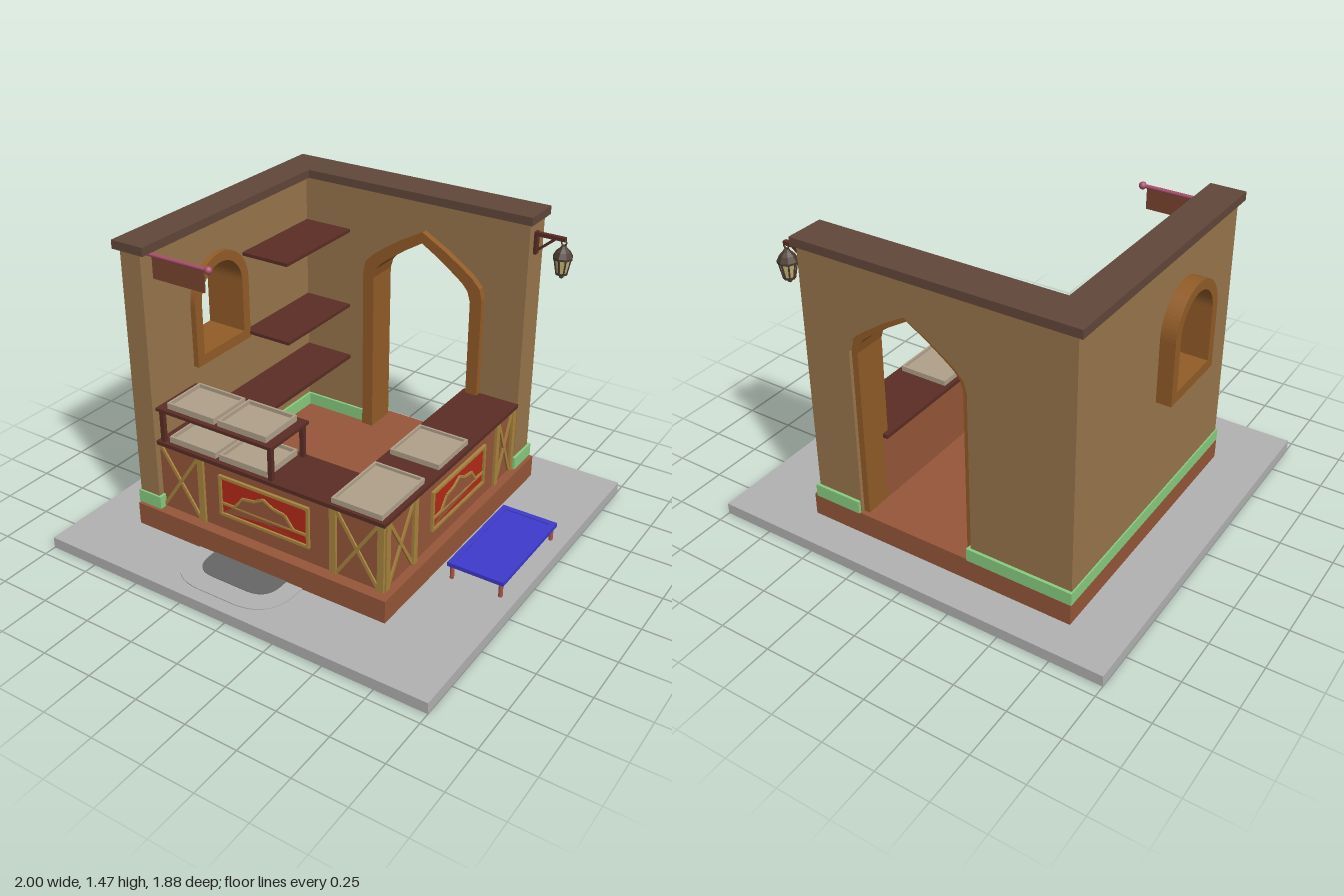
import * as THREE from 'three';

const mats = {};
const mat = (color) => (mats[color] ??= new THREE.MeshStandardMaterial({ color }));
const WALL = 0x99754b, RAIL = 0x62473a, BRICK = 0x955639, DARK = 0x5a2d24, WOOD = 0x925c28;
const GREEN = 0x88cc80, RED = 0xb52a18, GOLD = 0xa8843f, BLUE = 0x3e3acc, PINK = 0xa8506a;
const TRAY = 0xb0a08a, STONE = 0xb2b2b2, SLATE = 0x666666, IRON = 0x4a3c30, GLASS = 0xc8b878;

export function createModel() {
  const root = new THREE.Group();

  const add = (name, geo, color, parent = root) => {
    const m = new THREE.Mesh(geo, mat(color));
    m.name = name;
    parent.add(m);
    return m;
  };
  // Box from its min and max corners
  const box = (name, x0, x1, y0, y1, z0, z1, color, parent) => {
    const m = add(name, new THREE.BoxGeometry(x1 - x0, y1 - y0, z1 - z0), color, parent);
    m.position.set((x0 + x1) / 2, (y0 + y1) / 2, (z0 + z1) / 2);
    return m;
  };
  const shapeOf = (pts) => new THREE.Shape(pts.map(([x, y]) => new THREE.Vector2(x, y)));
  const extrude = (shape, depth) =>
    new THREE.ExtrudeGeometry(shape, { depth, bevelEnabled: false, curveSegments: 16 });
  // Square bar between two points of a flat facade
  const bar = (name, [x0, y0], [x1, y1], w, d, color, parent) => {
    const m = add(name, new THREE.BoxGeometry(Math.hypot(x1 - x0, y1 - y0), w, d), color, parent);
    m.position.set((x0 + x1) / 2, (y0 + y1) / 2, d / 2);
    m.rotation.z = Math.atan2(y1 - y0, x1 - x0);
    return m;
  };
  // Shallow open tray: floor plus four rims
  const tray = (name, x0, x1, y0, y1, z0, z1, w, floor, color) => {
    const g = new THREE.Group();
    g.name = name;
    root.add(g);
    box('trayFloor', x0 + w, x1 - w, y0, y0 + floor, z0 + w, z1 - w, color, g);
    for (const [a, b] of [[x0, x0 + w], [x1 - w, x1]]) box('sideRim', a, b, y0, y1, z0, z1, color, g);
    for (const [a, b] of [[z0, z0 + w], [z1 - w, z1]]) box('endRim', x0 + w, x1 - w, y0, y1, a, b, color, g);
  };

  // Ground slab, open underneath
  const slab = new THREE.BoxGeometry(2, 0.055, 1.88);
  slab.setIndex([...slab.index.array].filter((_, i) => i < 18 || i > 23));
  slab.clearGroups();
  const ground = add('ground', slab, STONE);
  ground.material = new THREE.MeshStandardMaterial({ color: STONE, side: THREE.DoubleSide });
  ground.position.y = 0.0275;

  // Rounded doorstep with a kerb
  const stepShape = (hw, len, r) => {
    const s = new THREE.Shape();
    s.moveTo(-hw, 0);
    s.lineTo(-hw, -len + r);
    s.quadraticCurveTo(-hw, -len, -hw + r, -len);
    s.lineTo(hw - r, -len);
    s.quadraticCurveTo(hw, -len, hw, -len + r);
    s.lineTo(hw, 0);
    return s;
  };
  const kerb = stepShape(0.285, 0.26, 0.2);
  for (const [name, s, h, c] of [['kerb', kerb, 0.012, STONE], ['doorstep', stepShape(0.2, 0.16, 0.11), 0.015, SLATE]]) {
    const m = add(name, extrude(s, h).rotateX(-Math.PI / 2), c);
    m.position.set(-0.1, 0.048, 0.615);
  }

  // Plinth
  box('plinth', -0.745, 0.607, 0.05, 0.167, -0.765, 0.625, BRICK);

  // Pointed arch, t = 0 inner edge, t = 1 outer edge
  const inner = [[0.265, 0.167], [0.265, 1.0], [0.25, 1.05], [0.225, 1.08], [0.192, 1.107], [0.09, 1.18], [0, 1.235]];
  const outer = [[0.325, 0.167], [0.325, 1.02], [0.312, 1.075], [0.27, 1.12], [0.215, 1.16], [0.125, 1.22], [0, 1.29]];
  const arch = (t) => {
    const half = inner.map(([x, y], i) => [x + (outer[i][0] - x) * t, y + (outer[i][1] - y) * t]);
    const left = half.map(([x, y]) => [0.045 - x, y]);
    const right = half.slice(0, -1).reverse().map(([x, y]) => [0.045 + x, y]);
    return [...left, ...right];
  };
  // Back wall with doorway
  const backPts = [[-0.64, 0.167], ...arch(0.5), [0.575, 0.167], [0.575, 1.435], [-0.64, 1.435]];
  add('backWall', extrude(shapeOf(backPts), 0.145), WALL).position.z = -0.758;
  const doorPts = [...arch(1), ...arch(0).reverse()];
  add('doorFrame', extrude(shapeOf(doorPts), 0.16), WOOD).position.z = -0.74;

  // Side wall with round-topped window; shape x runs along z
  const roundTop = (hw, y0, Type) => {
    const s = new Type();
    s.moveTo(0.105 - hw, y0);
    s.lineTo(0.105 + hw, y0);
    s.lineTo(0.105 + hw, 1.082);
    s.absarc(0.105, 1.082, hw, 0, Math.PI, false);
    s.lineTo(0.105 - hw, y0);
    return s;
  };
  const sideShape = shapeOf([[-0.758, 0.167], [0.6, 0.167], [0.6, 1.435], [-0.758, 1.435]]);
  sideShape.holes.push(roundTop(0.17, 0.8, THREE.Path));
  add('sideWall', extrude(sideShape, 0.11).rotateY(-Math.PI / 2), WALL).position.x = -0.635;
  const windowShape = roundTop(0.196, 0.775, THREE.Shape);
  windowShape.holes.push(roundTop(0.149, 0.825, THREE.Path));
  add('windowFrame', extrude(windowShape, 0.21).rotateY(-Math.PI / 2), WOOD).position.x = -0.607;

  // Wall caps
  box('sideCap', -0.77, -0.6, 1.433, 1.473, -0.775, 0.622, RAIL);
  box('backCap', -0.6, 0.595, 1.433, 1.473, -0.775, -0.585, RAIL);

  // Skirting around the wall feet
  box('sideSkirting', -0.752, -0.622, 0.167, 0.23, -0.772, 0.61, GREEN);
  box('backSkirtingRight', -0.63, -0.235, 0.167, 0.23, -0.772, -0.6, GREEN);
  box('backSkirtingLeft', 0.345, 0.588, 0.167, 0.23, -0.772, -0.6, GREEN);

  // Wall shelves and counter tops
  for (const y of [0.79, 1.19]) box('wallShelf', -0.635, -0.38, y, y + 0.016, -0.615, -0.087, DARK);
  box('sideCounterTop', -0.635, -0.375, 0.503, 0.522, -0.615, 0.315, DARK);
  box('frontCounterTop', -0.635, 0.578, 0.503, 0.522, 0.315, 0.59, DARK);
  box('leftCounterTop', 0.285, 0.578, 0.503, 0.522, -0.615, 0.315, DARK);
  box('frontCounterBody', -0.635, 0.563, 0.167, 0.503, 0.34, 0.57, BRICK);
  box('leftCounterBody', 0.31, 0.563, 0.167, 0.503, -0.615, 0.34, BRICK);

  // Counter facades: posts, crossed bars and a framed crest panel
  const facade = (name, posts, crosses, centre) => {
    const g = new THREE.Group();
    g.name = name;
    for (const u of posts) box('post', u - 0.016, u + 0.016, 0.167, 0.503, 0, 0.013, GOLD, g);
    for (const [a, b] of crosses) {
      bar('crossBar', [a, 0.175], [b, 0.495], 0.016, 0.008, GOLD, g);
      bar('crossBar', [a, 0.495], [b, 0.175], 0.016, 0.0085, GOLD, g);
    }
    const p = new THREE.Group();
    p.name = 'crestPanel';
    p.position.x = centre;
    g.add(p);
    box('redField', -0.23, 0.23, 0.26, 0.445, 0, 0.004, RED, p);
    for (const y of [0.253, 0.447]) bar('panelFrame', [-0.243, y], [0.243, y], 0.014, 0.014, GOLD, p);
    for (const x of [-0.236, 0.236]) bar('panelFrame', [x, 0.25], [x, 0.45], 0.014, 0.0135, GOLD, p);
    const crest = [[-0.23, 0.31], [-0.16, 0.31], [-0.115, 0.37], [-0.05, 0.38], [0, 0.408],
      [0.05, 0.38], [0.115, 0.37], [0.16, 0.31], [0.23, 0.31]];
    add('crestField', extrude(shapeOf([[-0.23, 0.26], ...crest.slice().reverse(), [0.23, 0.26]].sort(() => 0)
      .filter((q, i, a) => i < a.length - 1).concat([]).reverse().concat([[0.23, 0.26]]).reverse()), 0.007), BRICK, p);
    for (let i = 1; i < crest.length; i++) bar('crestLine', crest[i - 1], crest[i], 0.012, 0.011, GOLD, p);
    bar('crestBase', [-0.23, 0.307], [0.23, 0.307], 0.008, 0.01, GOLD, p);
    root.add(g);
    return g;
  };
  facade('frontFacade', [-0.395, 0.315, 0.555], [[-0.625, -0.41], [0.33, 0.54]], -0.05).position.z = 0.57;
  const leftFacade = facade('leftFacade', [-0.55, -0.325, 0.425, 0.59], [[-0.535, -0.34], [0.44, 0.575]], 0.06);
  leftFacade.rotation.y = Math.PI / 2;
  leftFacade.position.x = 0.563;

  // Display stand on the front counter
  box('standTop', -0.625, 0.012, 0.68, 0.695, 0.31, 0.59, DARK);
  for (const x of [-0.615, -0.017]) for (const z of [0.325, 0.56])
    box('standLeg', x, x + 0.022, 0.522, 0.68, z, z + 0.02, DARK);

  // Trays
  for (const y of [0.522, 0.695]) for (const x of [-0.575, -0.293])
    tray('standTray', x, x + 0.262, y, y + 0.03, 0.34, 0.567, 0.01, 0.012, TRAY);
  for (const [z0, z1] of [[-0.155, 0.108], [0.23, 0.573]])
    tray('counterTray', 0.305, 0.555, 0.522, 0.548, z0, z1, 0.01, 0.012, TRAY);

  // Hanging banner on a rod
  const rod = add('bannerRod', new THREE.CylinderGeometry(0.009, 0.009, 0.33, 10).rotateZ(Math.PI / 2), PINK);
  rod.position.set(-0.47, 1.417, 0.552);
  add('rodKnob', new THREE.SphereGeometry(0.018, 12, 8), PINK).position.set(-0.307, 1.417, 0.552);
  box('banner', -0.61, -0.33, 1.31, 1.41, 0.549, 0.555, 0x7a4430);

  // Low table beside the counter
  tray('lowTable', 0.67, 0.945, 0.123, 0.143, -0.33, 0.21, 0.028, 0.016, BLUE);
  for (const x of [0.688, 0.927]) for (const z of [-0.312, 0.192])
    add('tableLeg', new THREE.CylinderGeometry(0.01, 0.01, 0.075, 10), 0xa8564a).position.set(x, 0.0885, z);

  // Lantern on a wall bracket
  const lantern = new THREE.Group();
  lantern.name = 'lantern';
  lantern.position.set(0.715, 0, -0.67);
  root.add(lantern);
  box('bracketPlate', -0.14, -0.125, 1.275, 1.382, -0.014, 0.014, DARK, lantern);
  box('bracketArm', -0.125, 0.008, 1.362, 1.38, -0.01, 0.01, DARK, lantern);
  bar('bracketBrace', [-0.13, 1.29], [-0.04, 1.365], 0.012, 0.014, DARK, lantern).position.z = 0;
  const lathe = (name, pts, color) =>
    add(name, new THREE.LatheGeometry(pts.map(([x, y]) => new THREE.Vector2(x, y)), 8).toNonIndexed(), color, lantern)
      .geometry.computeVertexNormals();
  lathe('lanternBase', [[0, 1.183], [0.01, 1.19], [0.012, 1.2], [0.028, 1.205], [0.03, 1.215], [0, 1.217]], IRON);
  lathe('lanternGlass', [[0.024, 1.213], [0.039, 1.283]], GLASS);
  lathe('lanternCap', [[0, 1.28], [0.046, 1.28], [0.047, 1.29], [0.034, 1.315], [0.018, 1.33], [0.012, 1.34], [0, 1.346]], IRON);
  for (let i = 0; i < 8; i++) {
    const a = (i * Math.PI) / 4;
    const at = (r, y) => new THREE.Vector3(Math.sin(a) * r, y, Math.cos(a) * r);
    add('lanternBar', new THREE.TubeGeometry(new THREE.LineCurve3(at(0.025, 1.21), at(0.04, 1.284)), 1, 0.004, 5), IRON, lantern);
  }
  add('lanternRing', new THREE.TorusGeometry(0.012, 0.004, 6, 12), IRON, lantern).position.y = 1.355;

  return root;
}
